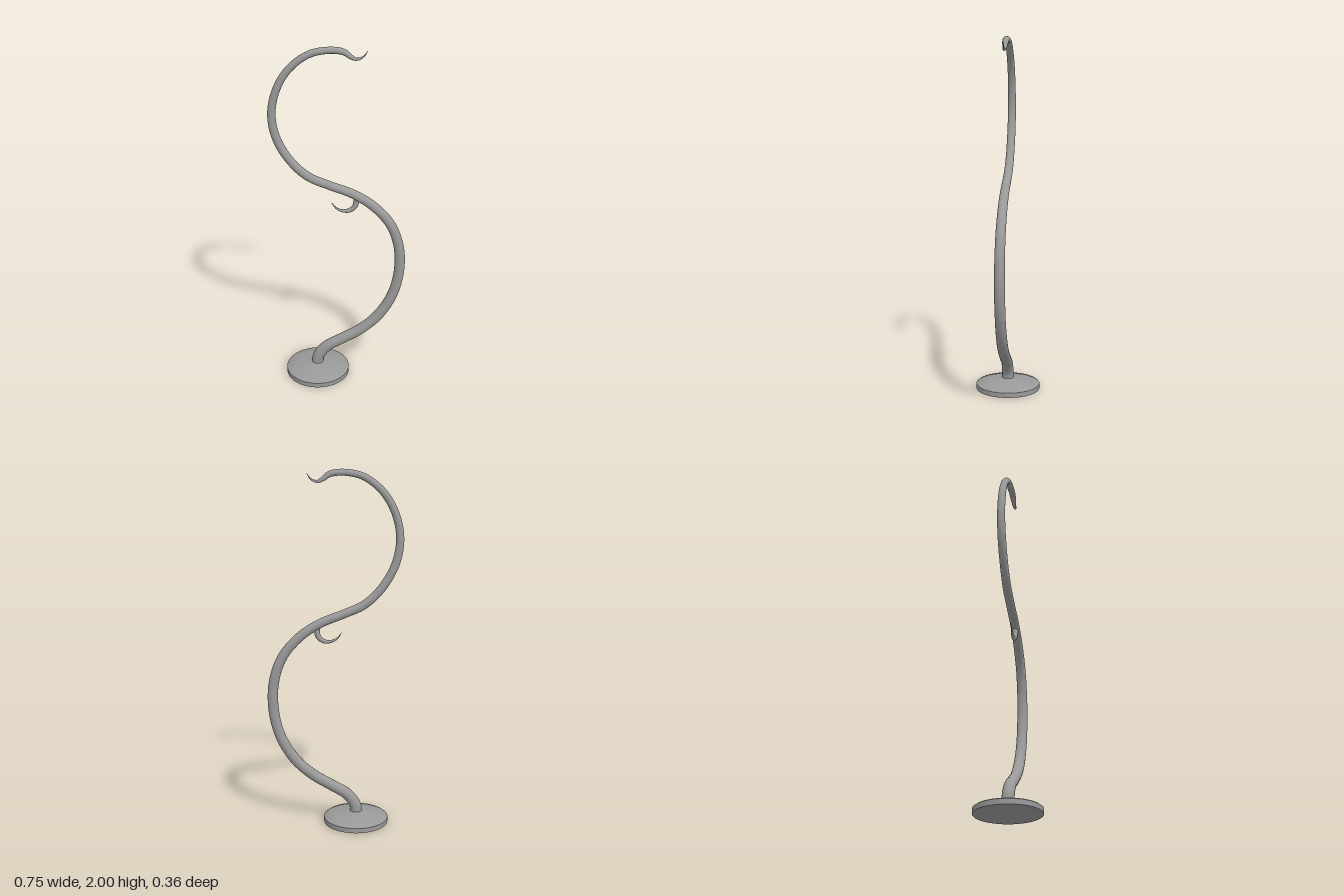
import * as THREE from 'three';
import { toCreasedNormals } from 'three/addons/utils/BufferGeometryUtils.js';

// Dark grey metal
const material = new THREE.MeshStandardMaterial({ color: 0x999999 });

// Round tube through [x, y, radius] stations in the z = 0 plane
function taperedTube(name, stations, segments, sides) {
  const curve = new THREE.CatmullRomCurve3(stations.map(([x, y]) => new THREE.Vector3(x, y, 0)));
  curve.arcLengthDivisions = 600;
  const geometry = new THREE.TubeGeometry(curve, segments, 1, sides, false);
  const position = geometry.attributes.position;
  const vertex = new THREE.Vector3();
  for (let i = 0; i <= segments; i++) {
    const u = i / segments;
    const centre = curve.getPointAt(u);
    const t = curve.getUtoTmapping(u) * (stations.length - 1);
    const k = Math.min(Math.floor(t), stations.length - 2);
    const radius = THREE.MathUtils.lerp(stations[k][2], stations[k + 1][2], t - k);
    for (let j = 0; j <= sides; j++) {
      const index = i * (sides + 1) + j;
      vertex.fromBufferAttribute(position, index).sub(centre).multiplyScalar(radius).add(centre);
      position.setXYZ(index, vertex.x, vertex.y, vertex.z);
    }
  }
  const mesh = new THREE.Mesh(geometry, material);
  mesh.name = name;
  return mesh;
}

export function createModel() {
  const group = new THREE.Group();
  group.name = 'curvedStand';

  // Round foot with a shallow dome
  const profile = [
    [0, 0], [0.181, 0], [0.181, 0.028], [0.173, 0.034], [0.14, 0.044],
    [0.1, 0.053], [0.06, 0.059], [0.04, 0.063], [0, 0.066],
  ].map(([x, y]) => new THREE.Vector2(x, y));
  const foot = new THREE.Mesh(toCreasedNormals(new THREE.LatheGeometry(profile, 64), 0.6), material);
  foot.name = 'foot';
  foot.position.x = -0.12;
  group.add(foot);

  // S-shaped stem, thinning towards the curled hook at the top
  group.add(taperedTube('stem', [
    [-0.122, 0.04, 0.034], [-0.115, 0.1, 0.033], [-0.07, 0.163, 0.032], [0.02, 0.22, 0.031],
    [0.125, 0.285, 0.03], [0.225, 0.38, 0.03], [0.305, 0.52, 0.029], [0.341, 0.68, 0.029],
    [0.335, 0.84, 0.028], [0.285, 0.98, 0.027], [0.19, 1.09, 0.026], [0.08, 1.163, 0.025],
    [-0.05, 1.215, 0.024], [-0.16, 1.265, 0.024], [-0.25, 1.35, 0.023], [-0.325, 1.48, 0.023],
    [-0.351, 1.62, 0.022], [-0.325, 1.76, 0.021], [-0.255, 1.88, 0.02], [-0.15, 1.96, 0.019],
    [-0.04, 1.982, 0.018], [0.03, 1.972, 0.017], [0.062, 1.948, 0.013], [0.095, 1.934, 0.008],
    [0.128, 1.948, 0.004], [0.15, 1.978, 0.001],
  ], 220, 20));

  // Small side hook below the middle of the stem
  group.add(taperedTube('sideHook', [
    [0.1, 1.14, 0.017], [0.092, 1.093, 0.015], [0.067, 1.066, 0.013],
    [0.03, 1.059, 0.009], [-0.01, 1.075, 0.005], [-0.038, 1.11, 0.001],
  ], 40, 16));

  return group;
}
